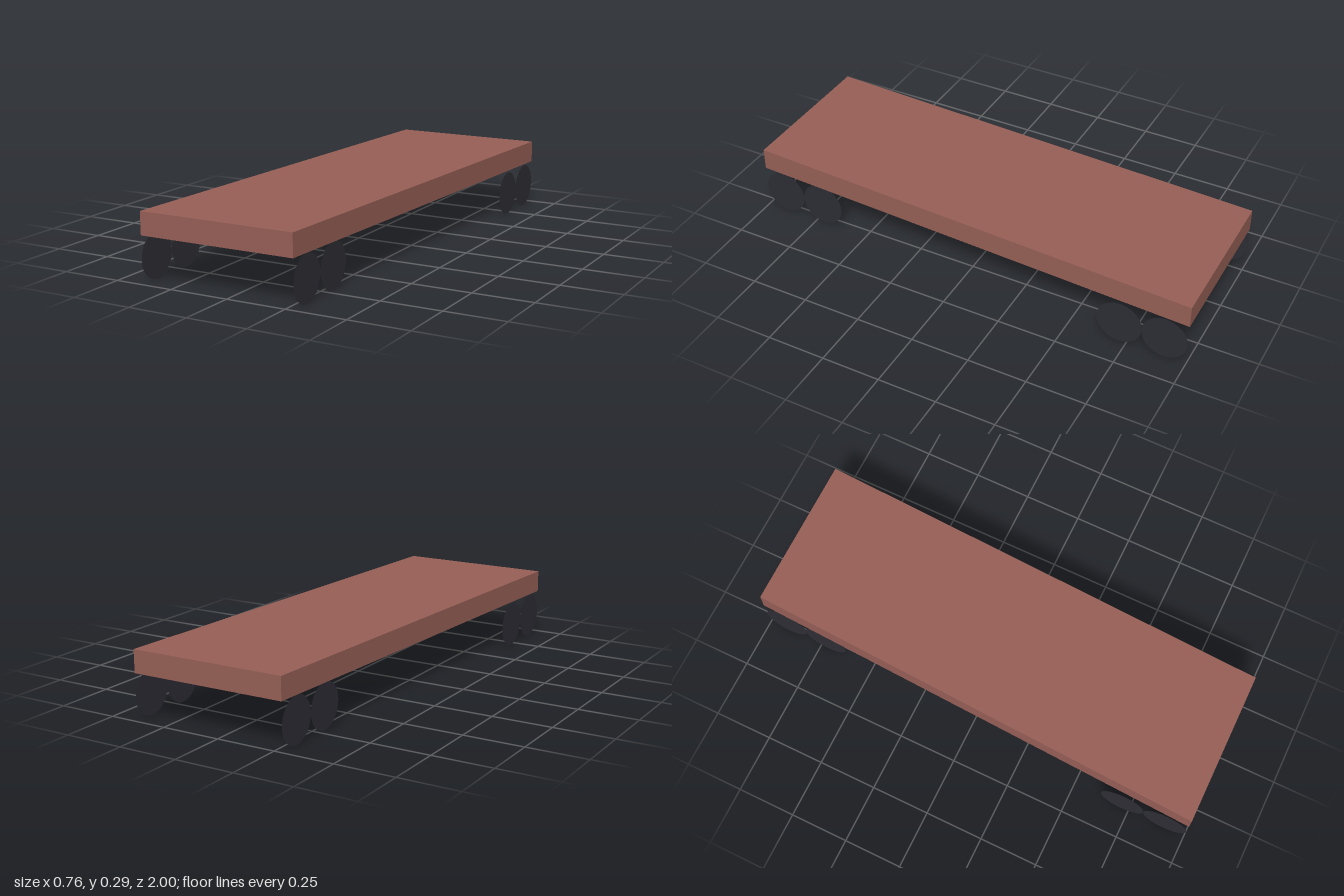
import * as THREE from 'three';

export function createModel() {
  const model = new THREE.Group();
  model.name = 'flatCart';

  const deckBrown = new THREE.MeshStandardMaterial({ color: 0x965f56 });
  deckBrown.name = 'deckBrown';
  const wheelBlack = new THREE.MeshStandardMaterial({ color: 0x2d2d35, side: THREE.DoubleSide });
  wheelBlack.name = 'wheelBlack';

  // Deck: a slab skewed sideways along its length
  const skew = 0.0475;
  const halfWidth = 0.3325;
  const deckGeometry = new THREE.BoxGeometry(halfWidth * 2, 0.094, 2);
  const position = deckGeometry.attributes.position;
  for (let i = 0; i < position.count; i++) {
    position.setX(i, position.getX(i) - skew * position.getZ(i));
  }
  deckGeometry.computeVertexNormals();
  const deck = new THREE.Mesh(deckGeometry, deckBrown);
  deck.name = 'deck';
  deck.position.y = 0.239;
  model.add(deck);

  // Wheels: a pair of thin discs under each corner of the deck
  const radius = 0.095;
  const wheelGeometry = new THREE.CircleGeometry(radius, 32);
  for (const end of [1, -1]) {
    for (const side of [1, -1]) {
      const pair = new THREE.Group();
      pair.name = (end > 0 ? 'front' : 'back') + (side > 0 ? 'Left' : 'Right') + 'Wheels';
      pair.position.set(side * halfWidth - skew * end, radius, 0);
      for (const z of [0.905, 0.715]) {
        const wheel = new THREE.Mesh(wheelGeometry, wheelBlack);
        wheel.name = 'wheel';
        wheel.rotation.y = side * Math.PI / 2;
        wheel.position.z = end * z;
        pair.add(wheel);
      }
      model.add(pair);
    }
  }
  return model;
}
